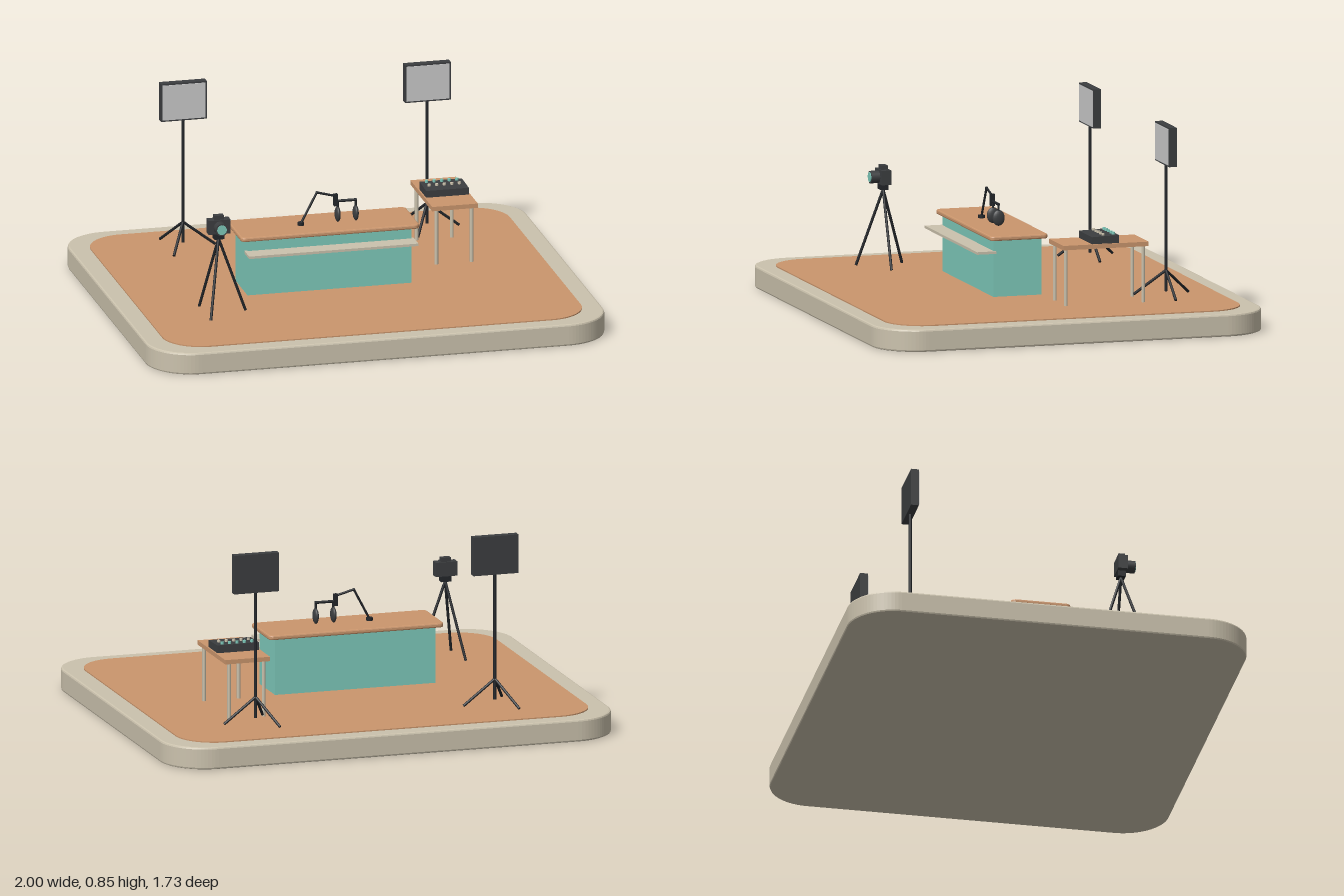
import * as THREE from 'three';

const mat = (name, color) => Object.assign(new THREE.MeshStandardMaterial({ color }), { name });

export function createModel() {
  const beige = mat('beige', 0xcbc2ad);
  const wood = mat('wood', 0xcb966d);
  const teal = mat('teal', 0x7ecabb);
  const dark = mat('charcoal', 0x3c3e40);
  const black = mat('black metal', 0x23262a);
  const screen = mat('light panel grey', 0xcacaca);

  const root = new THREE.Group();
  root.name = 'studioSet';

  const group = (name, x = 0, y = 0, z = 0) => {
    const g = new THREE.Group();
    g.name = name;
    g.position.set(x, y, z);
    root.add(g);
    return g;
  };
  const add = (parent, name, geo, material, x = 0, y = 0, z = 0) => {
    const m = new THREE.Mesh(geo, material);
    m.name = name;
    m.position.set(x, y, z);
    parent.add(m);
    return m;
  };
  const box = (p, name, w, h, d, m, x, y, z) => add(p, name, new THREE.BoxGeometry(w, h, d), m, x, y, z);

  // Round bar between two points
  const bar = (p, name, a, b, r, m) => {
    const A = new THREE.Vector3(...a), B = new THREE.Vector3(...b);
    const dir = B.clone().sub(A);
    const mesh = add(p, name, new THREE.CylinderGeometry(r, r, dir.length(), 10), m);
    mesh.position.copy(A).lerp(B, 0.5);
    mesh.quaternion.setFromUnitVectors(new THREE.Vector3(0, 1, 0), dir.normalize());
    return mesh;
  };

  // Horizontal slab with rounded corners and a bevelled rim, resting on y = 0
  const slab = (w, d, h, r, bevel) => {
    const x = w / 2 - bevel, y = d / 2 - bevel, s = new THREE.Shape();
    s.moveTo(-x + r, -y);
    s.lineTo(x - r, -y);
    s.absarc(x - r, -y + r, r, -Math.PI / 2, 0);
    s.lineTo(x, y - r);
    s.absarc(x - r, y - r, r, 0, Math.PI / 2);
    s.lineTo(-x + r, y);
    s.absarc(-x + r, y - r, r, Math.PI / 2, Math.PI);
    s.lineTo(-x, -y + r);
    s.absarc(-x + r, -y + r, r, Math.PI, Math.PI * 1.5);
    return new THREE.ExtrudeGeometry(s, {
      depth: h - 2 * bevel, curveSegments: 10, bevelEnabled: bevel > 0,
      bevelThickness: bevel, bevelSize: bevel, bevelSegments: 2,
    }).translate(0, 0, bevel).rotateX(-Math.PI / 2);
  };

  // Three splayed legs, one of them pointing to +x
  const tripodLegs = (p, top, foot, radius, r) => {
    for (let i = 0; i < 3; i++) {
      const a = (i * Math.PI * 2) / 3;
      bar(p, 'tripodLeg', [0, top, 0], [Math.cos(a) * radius, foot, Math.sin(a) * radius], r, black);
    }
  };

  // Platform and floor
  const stage = group('stage');
  add(stage, 'platform', slab(2, 1.725, 0.096, 0.19, 0.008), beige);
  add(stage, 'floor', slab(1.83, 1.575, 0.009, 0.17, 0), wood, 0, 0.092, 0);

  // Presenter desk with front shelf
  const desk = group('desk', -0.068, 0, 0.05);
  box(desk, 'deskBody', 0.716, 0.247, 0.213, teal, 0, 0.2235, 0);
  add(desk, 'deskTop', slab(0.78, 0.258, 0.02, 0.015, 0.006), wood, 0, 0.345, 0);
  box(desk, 'deskShelf', 0.74, 0.011, 0.085, beige, 0, 0.293, 0.14);

  // Side table
  const table = group('sideTable', 0.532, 0, -0.236);
  box(table, 'tableTop', 0.2, 0.019, 0.38, wood, 0, 0.3535, 0);
  for (const sx of [-1, 1]) for (const sz of [-1, 1])
    bar(table, 'tableLeg', [sx * 0.077, 0.1, sz * 0.172], [sx * 0.077, 0.346, sz * 0.172], 0.008, beige);

  // Mixing console: wedge box with two rows of knobs
  const mixer = group('mixer', 0.532, 0.363, -0.236);
  const wedge = new THREE.BoxGeometry(0.186, 0.034, 0.12).translate(0, 0.017, 0);
  const pos = wedge.attributes.position;
  for (let i = 0; i < pos.count; i++)
    if (pos.getY(i) > 0.01 && pos.getZ(i) > 0) pos.setY(i, 0.03);
  wedge.computeVertexNormals();
  add(mixer, 'mixerBody', wedge, dark);
  for (let i = -2; i <= 2; i++) {
    add(mixer, 'tealKnob', new THREE.CylinderGeometry(0.007, 0.007, 0.014, 10), teal, i * 0.033, 0.037, -0.043);
    add(mixer, 'beigeKnob', new THREE.CylinderGeometry(0.007, 0.007, 0.012, 10), beige, i * 0.033, 0.035, 0.003);
  }

  // Microphone boom on the desk
  const mic = group('microphoneArm', 0, 0, 0.064);
  add(mic, 'armBase', new THREE.CylinderGeometry(0.014, 0.014, 0.014, 16), black, -0.17, 0.371, 0);
  bar(mic, 'lowerArm', [-0.17, 0.372, 0], [-0.1, 0.505, 0], 0.005, black);
  bar(mic, 'upperArm', [-0.1, 0.505, 0], [-0.018, 0.483, 0], 0.005, black);
  add(mic, 'armElbow', new THREE.SphereGeometry(0.006, 10, 8), black, -0.1, 0.505, 0);
  box(mic, 'armHead', 0.016, 0.052, 0.018, black, -0.018, 0.466, 0);
  bar(mic, 'crossBar', [-0.018, 0.46, 0], [0.074, 0.46, 0], 0.006, black);
  for (const x of [-0.009, 0.07]) {
    bar(mic, 'microphoneStem', [x, 0.46, 0], [x, 0.42, 0], 0.005, black);
    add(mic, 'microphone', new THREE.SphereGeometry(1, 18, 12).scale(0.012, 0.034, 0.027), dark, x, 0.402, 0);
  }

  // Camera on tripod
  const cam = group('camera', -0.605, 0, 0.364);
  tripodLegs(cam, 0.435, 0.106, 0.118, 0.006);
  box(cam, 'cameraMount', 0.044, 0.028, 0.034, black, 0, 0.449, 0);
  box(cam, 'cameraBody', 0.096, 0.062, 0.042, dark, 0, 0.491, 0);
  box(cam, 'viewfinder', 0.042, 0.02, 0.028, dark, 0, 0.53, 0);
  add(cam, 'lensBarrel', new THREE.CylinderGeometry(0.027, 0.027, 0.042, 20).rotateX(Math.PI / 2), dark, 0, 0.49, 0.038);
  add(cam, 'lensGlass', new THREE.CylinderGeometry(0.021, 0.021, 0.004, 20).rotateX(Math.PI / 2), teal, 0, 0.49, 0.06);

  // Two panel lights on stands
  for (const x of [-0.535, 0.532]) {
    const light = group('studioLight', x, 0, -0.534);
    tripodLegs(light, 0.22, 0.112, 0.14, 0.006);
    bar(light, 'lightPole', [0, 0.13, 0], [0, 0.69, 0], 0.007, black);
    box(light, 'lightHousing', 0.2, 0.168, 0.034, dark, 0, 0.762, 0);
    box(light, 'lightFace', 0.187, 0.155, 0.004, screen, 0, 0.762, 0.018);
  }
  return root;
}
